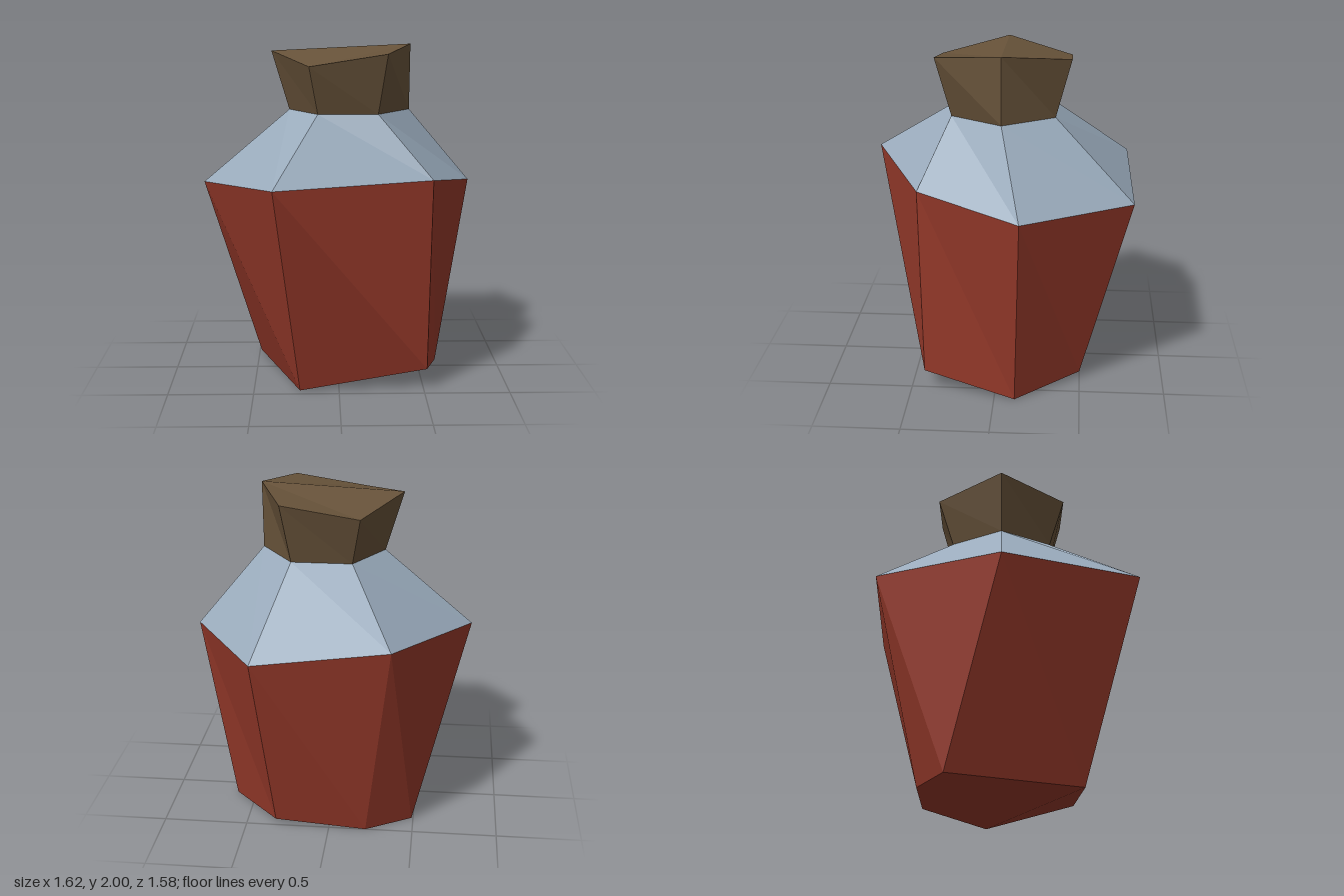
import * as THREE from 'three';

// Hexagonal rings, each counter-clockwise from above, starting front right-hand corner (-x, +z)
const base = [[-0.23, 0, 0.44], [0.52, 0.12, 0.42], [0.62, 0, -0.12], [0.32, 0.04, -0.5], [-0.22, 0, -0.5], [-0.49, 0, -0.34]];
const shoulder = [[-0.37, 1.25, 0.79], [0.54, 1.25, 0.44], [0.81, 1.16, -0.15], [0.41, 1.155, -0.79], [-0.37, 1.25, -0.77], [-0.81, 1.17, -0.03]];
const neck = [[-0.12, 1.61, 0.27], [0.23, 1.61, 0.27], [0.43, 1.61, -0.03], [0.23, 1.61, -0.33], [-0.12, 1.61, -0.33], [-0.29, 1.61, -0.03]];
const lid = [[-0.17, 1.89, 0.36], [0.28, 1.96, 0.36], [0.435, 2, -0.03], [0.28, 1.96, -0.42], [-0.17, 1.89, -0.42], [-0.395, 1.96, -0.03]];

// Faceted band between two rings
function band(lower, upper) {
  const tris = [];
  for (let i = 0; i < 6; i++) {
    const j = (i + 1) % 6;
    tris.push(upper[i], lower[i], lower[j], upper[i], lower[j], upper[j]);
  }
  return tris;
}

// Fan from the +x corner closes a ring, facing up or down
function cap(ring, up) {
  const tris = [];
  for (let k = 1; k < 5; k++) {
    const a = ring[(2 + k) % 6], b = ring[(3 + k) % 6];
    tris.push(ring[2], ...(up ? [a, b] : [b, a]));
  }
  return tris;
}

function part(name, tris, material) {
  const geometry = new THREE.BufferGeometry();
  geometry.setAttribute('position', new THREE.Float32BufferAttribute(tris.flat(), 3));
  geometry.computeVertexNormals();
  const mesh = new THREE.Mesh(geometry, material);
  mesh.name = name;
  return mesh;
}

function paint(name, color) {
  const material = new THREE.MeshStandardMaterial({ color });
  material.name = name;
  return material;
}

export function createModel() {
  const model = new THREE.Group();
  model.name = 'bottle';
  model.add(
    // Tapered body with its uneven underside
    part('body', [...band(base, shoulder), ...cap(base, false)], paint('red', 0x96392a)),
    // Sloping glass shoulder
    part('shoulder', band(shoulder, neck), paint('pale blue', 0x9aabbc)),
    // Flared stopper with a crooked top
    part('stopper', [...band(neck, lid), ...cap(lid, true)], paint('cork brown', 0x68533a)),
  );
  return model;
}
